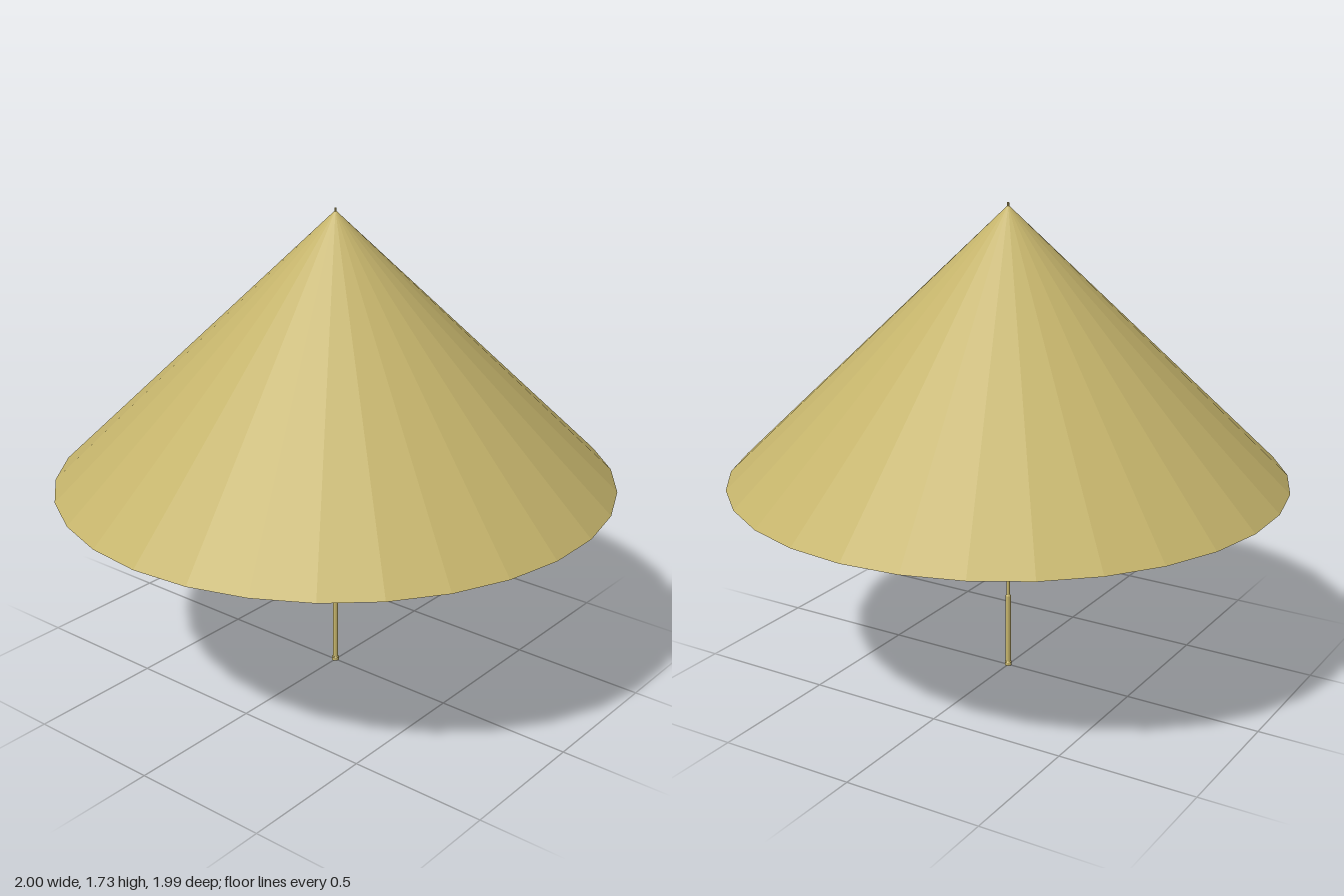
import * as THREE from 'three';

export function createModel() {
  const model = new THREE.Group();
  const straw = new THREE.MeshStandardMaterial({ color: 0xc4b36b, flatShading: true });
  straw.name = 'straw';

  const add = (name, geometry, y) => {
    const mesh = new THREE.Mesh(geometry, straw);
    mesh.name = name;
    mesh.position.y = y;
    model.add(mesh);
  };

  // Closed 30-sided canopy with a corner on the x axis
  const rim = 0.757, apex = 1.722;
  add('canopy', new THREE.ConeGeometry(1, apex - rim, 30, 1, false, Math.PI / 2), (rim + apex) / 2);

  // Slim pole: small foot, straight lower shaft, narrow waist, wider collar under the canopy
  const profile = [
    [0, 0], [0.013, 0], [0.013, 0.012], [0.01, 0.016], [0.01, 0.28],
    [0.007, 0.285], [0.007, 0.54], [0.009, 0.56], [0.011, 0.63], [0.014, 0.7], [0.014, 0.77], [0, 0.77],
  ].map(([r, y]) => new THREE.Vector2(r, y));
  add('pole', new THREE.LatheGeometry(profile, 12), 0);

  // Tiny tip where the pole comes through the apex
  add('tip', new THREE.CylinderGeometry(0.004, 0.004, 0.03, 8), 1.715);

  return model;
}
